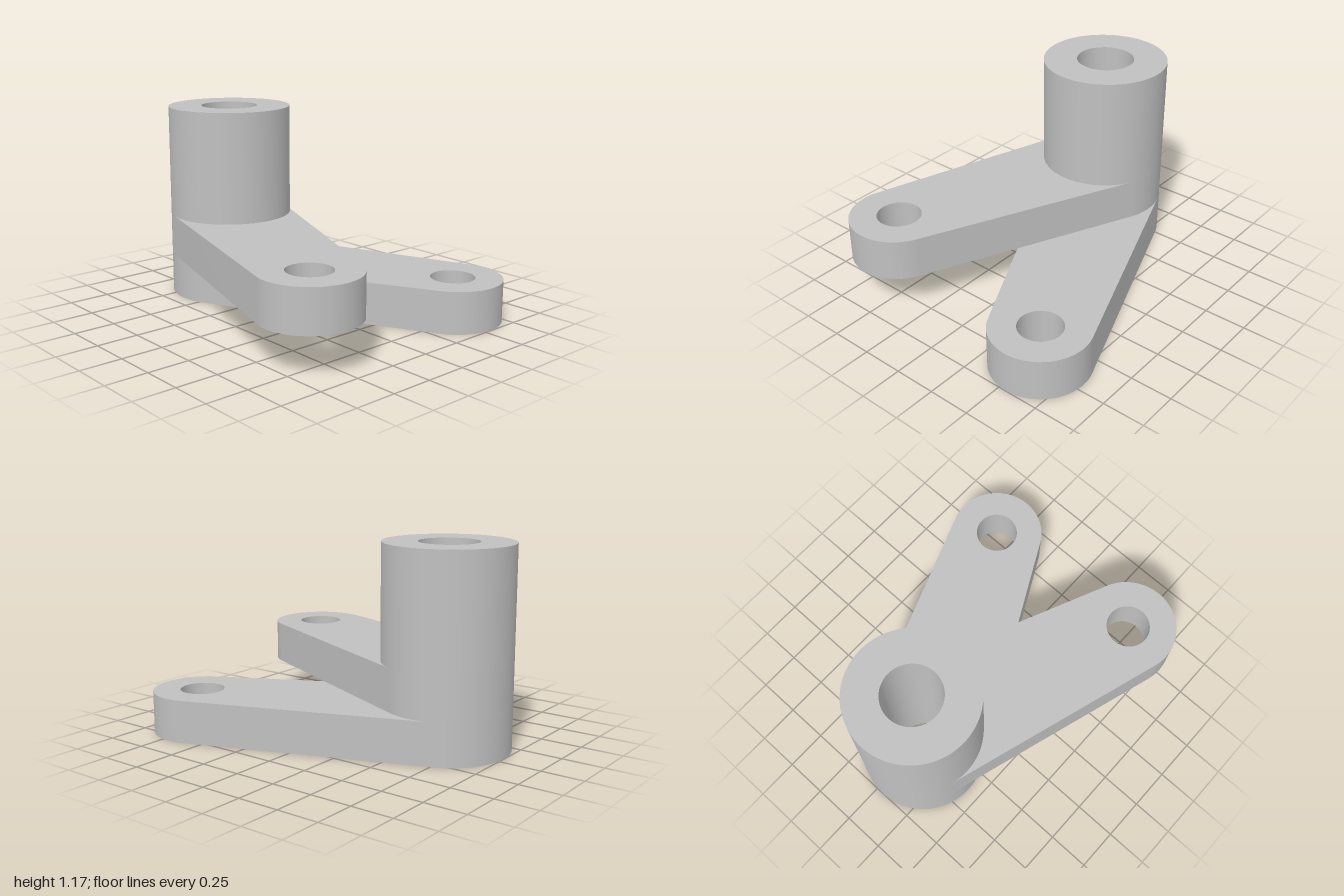
import * as THREE from 'three';
import { toCreasedNormals } from 'three/addons/utils/BufferGeometryUtils.js';

const HUB = { x: -0.627, z: 0.048, r: 0.373, bore: 0.172 };
const END_RADIUS = 0.29;
const END_BORE = 0.13;

// Round hole for a shape drawn in plan (shape y = -z)
function hole(x, y, r) {
  return new THREE.Path().absarc(x, y, r, 0, Math.PI * 2, true);
}

// Extrude a plan shape upwards from y0 to y1
function plate(name, shape, y0, y1, material) {
  let geometry = new THREE.ExtrudeGeometry(shape, { depth: y1 - y0, bevelEnabled: false, curveSegments: 48 });
  geometry.rotateX(-Math.PI / 2);
  geometry.translate(0, y0, 0);
  geometry = toCreasedNormals(geometry, Math.PI / 6);
  const mesh = new THREE.Mesh(geometry, material);
  mesh.name = name;
  return mesh;
}

// Tapered lever: hub circle and end circle joined by their outer tangents
function leverShape(endX, endZ) {
  const hx = HUB.x, hy = -HUB.z, ex = endX, ey = -endZ;
  const direction = Math.atan2(ey - hy, ex - hx);
  const spread = Math.acos((HUB.r - END_RADIUS) / Math.hypot(ex - hx, ey - hy));
  const shape = new THREE.Shape();
  shape.absarc(hx, hy, HUB.r, direction + spread, direction - spread + Math.PI * 2, false);
  shape.absarc(ex, ey, END_RADIUS, direction - spread, direction + spread, false);
  shape.closePath();
  shape.holes.push(hole(hx, hy, HUB.bore), hole(ex, ey, END_BORE));
  return shape;
}

export function createModel() {
  const group = new THREE.Group();
  group.name = 'bellCrank';
  const metal = new THREE.MeshStandardMaterial({ color: 0xc0c0c0 });
  metal.name = 'grey metal';

  // Two levers stacked around the hub
  group.add(plate('lowerLever', leverShape(0.708, -0.545), 0, 0.25, metal));
  group.add(plate('upperLever', leverShape(0.68, 0.54), 0.25, 0.5, metal));

  // Hollow hub column above the levers
  const ring = new THREE.Shape();
  ring.absarc(HUB.x, -HUB.z, HUB.r, 0, Math.PI * 2, false);
  ring.holes.push(hole(HUB.x, -HUB.z, HUB.bore));
  group.add(plate('hubColumn', ring, 0.5, 1.17, metal));

  return group;
}
